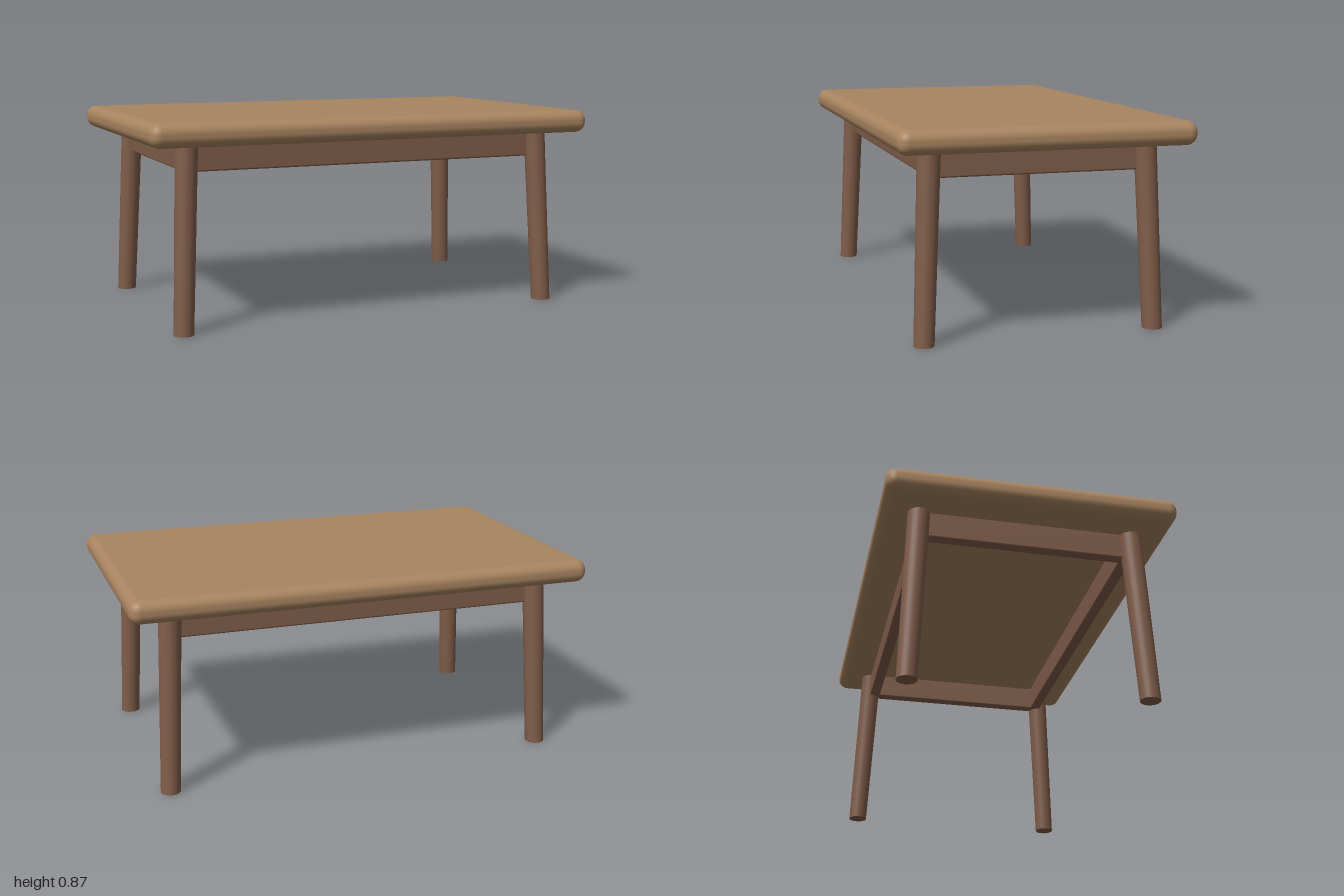
import * as THREE from 'three';
import { RoundedBoxGeometry } from 'three/addons/geometries/RoundedBoxGeometry.js';

export function createModel() {
  const lightWood = new THREE.MeshStandardMaterial({ name: 'lightWood', color: 0xa98560 });
  const darkWood = new THREE.MeshStandardMaterial({ name: 'darkWood', color: 0x805d49 });
  const table = new THREE.Group();
  table.name = 'table';

  const add = (name, geometry, material, x, y, z) => {
    const mesh = new THREE.Mesh(geometry, material);
    mesh.name = name;
    mesh.position.set(x, y, z);
    table.add(mesh);
    return mesh;
  };

  // Thick slab with softly rounded edges
  add('tabletop', new RoundedBoxGeometry(2, 0.098, 1.22, 6, 0.044), lightWood, 0, 0.82, 0);

  // Splayed, tapered legs: a cylinder sheared outward so both ends stay level
  const legHeight = 0.79;
  for (const sx of [-1, 1]) {
    for (const sz of [-1, 1]) {
      const leg = new THREE.CylinderGeometry(0.047, 0.042, legHeight, 32);
      const shear = new THREE.Matrix4().set(
        1, -sx * 0.035 / legHeight, 0, 0,
        0, 1, 0, 0,
        0, -sz * 0.035 / legHeight, 1, 0,
        0, 0, 0, 1);
      leg.applyMatrix4(shear);
      const name = (sz > 0 ? 'front' : 'back') + (sx > 0 ? 'Left' : 'Right') + 'Leg';
      add(name, leg, darkWood, sx * 0.8325, legHeight / 2, sz * 0.4685);
    }
  }

  // Apron rails between the legs, just under the slab
  const railY = 0.72, railHeight = 0.12, thickness = 0.05;
  for (const s of [-1, 1]) {
    add(s > 0 ? 'frontApron' : 'backApron',
      new RoundedBoxGeometry(1.63, railHeight, thickness, 3, 0.008), darkWood, 0, railY, s * 0.432);
    add(s > 0 ? 'leftApron' : 'rightApron',
      new RoundedBoxGeometry(thickness, railHeight, 0.9, 3, 0.008), darkWood, s * 0.802, railY, 0);
  }
  return table;
}
